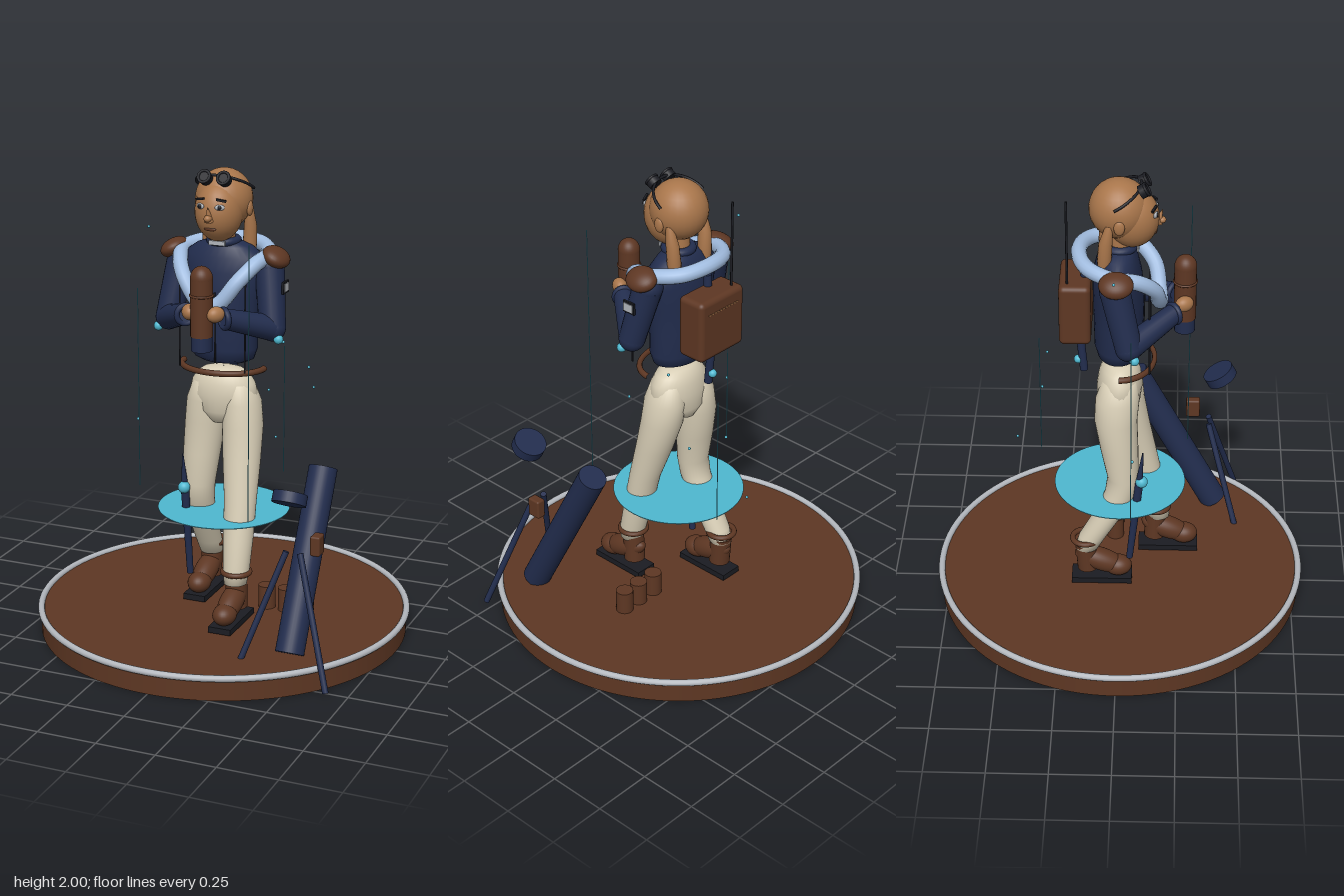
import * as THREE from 'three';
import { RoundedBoxGeometry } from 'three/addons/geometries/RoundedBoxGeometry.js';

const mat = (name, color, side = THREE.FrontSide) => {
  const m = new THREE.MeshStandardMaterial({ color, side });
  m.name = name;
  return m;
};

export function createModel() {
  const root = new THREE.Group();
  root.name = 'explorerFigure';
  const brown = mat('leatherBrown', 0x5e3723), navy = mat('navy', 0x222d4e), cream = mat('cream', 0xd8ceb6);
  const skin = mat('skin', 0xa9764b), scarfBlue = mat('lightBlue', 0xa2bde0), silver = mat('silver', 0xb4b8be);
  const cyan = mat('cyan', 0x4fb8d0, THREE.DoubleSide), black = mat('black', 0x1b1c22);
  const V = (p) => new THREE.Vector3(...p);

  const add = (name, geo, m, p = [0, 0, 0], r = [0, 0, 0], s = [1, 1, 1]) => {
    const o = new THREE.Mesh(geo, m);
    o.name = name;
    o.position.set(...p);
    o.rotation.set(...r);
    o.scale.set(...s);
    root.add(o);
    return o;
  };
  const ball = (name, m, p, radii, r) => add(name, new THREE.SphereGeometry(1, 28, 18), m, p, r, radii);
  const box = (name, m, p, size, r) => add(name, new THREE.BoxGeometry(...size), m, p, r);
  // Cylinder running from a to b
  const rod = (name, m, a, b, ra, rb = ra, seg = 20) => {
    const d = V(b).sub(V(a));
    const o = add(name, new THREE.CylinderGeometry(rb, ra, d.length(), seg), m);
    o.position.copy(V(a)).addScaledVector(d, 0.5);
    o.quaternion.setFromUnitVectors(new THREE.Vector3(0, 1, 0), d.normalize());
    return o;
  };
  const tube = (name, m, pts, r, closed = false) =>
    add(name, new THREE.TubeGeometry(new THREE.CatmullRomCurve3(pts.map(V), closed), 72, r, 14, closed), m);
  // Smooth skin over elliptical rings [x, y, z, rx, rz], listed bottom to top
  const loft = (name, m, rings, n = 32) => {
    const all = [[...rings[0].slice(0, 3), 0.001, 0.001], ...rings, [...rings.at(-1).slice(0, 3), 0.001, 0.001]];
    const pos = [], idx = [];
    all.forEach(([x, y, z, rx, rz], i) => {
      for (let j = 0; j < n; j++) {
        const a = (j / n) * Math.PI * 2, p = i * n + j, q = i * n + ((j + 1) % n);
        pos.push(x + rx * Math.cos(a), y, z + rz * Math.sin(a));
        if (i < all.length - 1) idx.push(p, p + n, q, q, p + n, q + n);
      }
    });
    const g = new THREE.BufferGeometry();
    g.setAttribute('position', new THREE.Float32BufferAttribute(pos, 3));
    g.setIndex(idx);
    g.computeVertexNormals();
    return add(name, g, m);
  };

  // Round base with metal rim
  add('base', new THREE.CylinderGeometry(0.785, 0.785, 0.095, 96), brown, [0, 0.0525, 0]);
  add('baseRim', new THREE.TorusGeometry(0.785, 0.014, 12, 96), silver, [0, 0.102, 0], [Math.PI / 2, 0, 0]);

  // Hovering disc, light lines and sparks
  add('glowDisc', new THREE.CylinderGeometry(0.28, 0.28, 0.003, 64), cyan, [0, 0.54, 0]);
  [[0.23, 0.29, 1.76], [-0.368, 0.054, 1.47], [0.136, -0.344, 1.17]].forEach(([x, z, top]) =>
    rod('lightLine', cyan, [x, 0.6, z], [x, top, z], 0.002, 0.002, 6));
  [[0.28, 1.01, -0.32], [0.355, 1.18, -0.06], [0.06, 0.72, -0.44], [0.07, 0.97, -0.33],
    [-0.345, 1.72, -0.015], [0.21, 1.25, -0.14], [-0.37, 0.9, 0.06]].forEach((p) => ball('spark', cyan, p, [0.006, 0.006, 0.006]));

  // Trousers
  loft('hips', cream, [[0, 0.93, -0.005, 0.05, 0.07], [0, 0.98, -0.005, 0.13, 0.092], [0, 1.05, 0, 0.15, 0.096],
    [0, 1.1, 0, 0.138, 0.088], [0, 1.135, 0, 0.115, 0.075], [0, 1.155, 0, 0.085, 0.055], [0, 1.163, 0, 0.04, 0.03]]);
  loft('leftTrouserLeg', cream, [[0.122, 0.27, 0.165, 0.048, 0.05], [0.122, 0.33, 0.155, 0.056, 0.058],
    [0.118, 0.46, 0.125, 0.064, 0.063], [0.113, 0.62, 0.09, 0.069, 0.066], [0.1, 0.78, 0.045, 0.08, 0.08],
    [0.09, 0.92, 0.01, 0.086, 0.092], [0.083, 1.02, 0, 0.08, 0.093], [0.075, 1.1, 0, 0.055, 0.07]]);
  loft('rightTrouserLeg', cream, [[-0.117, 0.27, -0.14, 0.048, 0.05], [-0.117, 0.33, -0.115, 0.056, 0.058],
    [-0.116, 0.46, -0.04, 0.062, 0.062], [-0.112, 0.56, 0.005, 0.066, 0.066], [-0.108, 0.64, 0.016, 0.07, 0.066],
    [-0.1, 0.78, 0, 0.08, 0.08], [-0.09, 0.92, -0.015, 0.086, 0.09], [-0.083, 1.02, -0.008, 0.08, 0.092], [-0.075, 1.1, 0, 0.055, 0.07]]);

  // Boots, soles and ankle straps
  [[0.122, 0.2, 0.155], [-0.117, -0.085, -0.145]].forEach(([x, z, cuffZ]) => {
    add('ankleStrap', new THREE.TorusGeometry(0.056, 0.012, 10, 32), brown, [x, 0.317, cuffZ], [Math.PI / 2, 0, 0]);
    rod('bootShaft', brown, [x, 0.16, z - 0.05], [x, 0.29, cuffZ], 0.046, 0.046);
    ball('bootFoot', brown, [x, 0.2, z + 0.005], [0.05, 0.05, 0.12], [0.38, 0, 0]);
    ball('bootToe', brown, [x, 0.17, z + 0.08], [0.05, 0.045, 0.06]);
    box('bootSole', black, [x, 0.118, z + 0.01], [0.1, 0.026, 0.26]);
  });

  // Jacket
  loft('jacketBody', navy, [[0, 1.19, -0.005, 0.1, 0.065], [0, 1.205, -0.005, 0.13, 0.088], [0, 1.25, -0.005, 0.145, 0.1],
    [0, 1.36, -0.005, 0.145, 0.102], [0, 1.48, -0.005, 0.16, 0.105], [0, 1.58, -0.01, 0.18, 0.1],
    [0, 1.64, -0.01, 0.175, 0.085], [0, 1.68, -0.01, 0.12, 0.07], [0, 1.7, -0.005, 0.065, 0.055]]);
  rod('neck', skin, [0, 1.66, 0], [0, 1.78, 0.01], 0.05);
  add('collar', new THREE.TorusGeometry(0.055, 0.018, 12, 32), navy, [0, 1.7, 0], [Math.PI / 2, 0, 0]);
  box('collarClasp', silver, [0, 1.7, 0.073], [0.07, 0.018, 0.009]);
  rod('jacketSeam', black, [0, 1.2, 0.094], [0, 1.5, 0.1], 0.004, 0.004, 8);
  add('belt', new THREE.TorusGeometry(0.18, 0.013, 12, 40, Math.PI), brown, [0, 1.17, 0], [Math.PI / 2, 0, 0], [1, 0.8, 1]);

  // Scarf looped over the shoulders
  tube('scarf', scarfBlue, [[0, 1.675, -0.165], [0.12, 1.665, -0.13], [0.185, 1.65, -0.03], [0.165, 1.625, 0.07],
    [0.115, 1.56, 0.14], [0.05, 1.475, 0.16], [0, 1.45, 0.165], [-0.05, 1.475, 0.16], [-0.115, 1.56, 0.14],
    [-0.165, 1.625, 0.07], [-0.185, 1.65, -0.03], [-0.12, 1.665, -0.13]], 0.032, true);

  // Arms, shoulder pads, straps and hands
  for (const s of [1, -1]) {
    const shoulder = [s * 0.195, 1.6, -0.015], elbow = [s * 0.232, 1.36, 0.04], wrist = [s * 0.085 + 0.01, 1.43, 0.22];
    ball('shoulder', navy, shoulder, [0.062, 0.062, 0.062]);
    rod('upperArm', navy, elbow, shoulder, 0.055, 0.062);
    ball('elbow', navy, elbow, [0.055, 0.055, 0.055]);
    rod('forearm', navy, elbow, wrist, 0.054, 0.042);
    add('cuff', new THREE.TorusGeometry(0.038, 0.012, 10, 24), navy, wrist, [0, -s * 0.7, 0]);
    ball('elbowLight', cyan, [s * 0.268, 1.322, 0.065], [0.02, 0.02, 0.02]);
    ball('hand', skin, [s * 0.058 + 0.017, 1.455, 0.262], [0.03, 0.033, 0.04], [0, -s * 0.5, 0]);
    ball('shoulderPad', brown, [s * 0.226, 1.646, -0.01], [0.06, 0.038, 0.07], [0, 0, -s * 0.5]);
    rod('harnessStrap', black, [s * 0.145, 1.18, 0.125], [s * 0.145, 1.62, 0.12], 0.004, 0.004, 8);
  }
  box('sleevePatchEdge', black, [0.276, 1.53, 0.012], [0.009, 0.05, 0.06]);
  box('sleevePatch', silver, [0.279, 1.53, 0.012], [0.009, 0.034, 0.045]);

  // Flask held in both hands
  rod('flaskBase', navy, [0.015, 1.3, 0.265], [0.015, 1.37, 0.265], 0.043);
  rod('flaskBody', brown, [0.015, 1.36, 0.265], [0.015, 1.6, 0.265], 0.046);
  ball('flaskDome', brown, [0.015, 1.6, 0.265], [0.046, 0.05, 0.046]);
  add('flaskBand', new THREE.TorusGeometry(0.046, 0.005, 8, 28), brown, [0.015, 1.53, 0.265], [Math.PI / 2, 0, 0]);

  // Head and face
  ball('cranium', skin, [0, 1.872, -0.003], [0.118, 0.125, 0.122]);
  ball('face', skin, [0, 1.83, 0.05], [0.098, 0.125, 0.108]);
  add('nose', new THREE.ConeGeometry(0.02, 0.065, 12), skin, [0, 1.838, 0.16], [0.3, 0, 0]);
  ball('noseTip', skin, [0, 1.82, 0.168], [0.016, 0.014, 0.016]);
  ball('lips', brown, [0, 1.772, 0.143], [0.027, 0.008, 0.006]);
  for (const s of [1, -1]) {
    ball('eyeWhite', silver, [s * 0.042, 1.864, 0.143], [0.02, 0.012, 0.007], [0, s * 0.4, 0]);
    ball('pupil', black, [s * 0.042, 1.864, 0.148], [0.009, 0.01, 0.006]);
    box('eyebrow', black, [s * 0.046, 1.892, 0.137], [0.042, 0.009, 0.009], [0, s * 0.4, -s * 0.2]);
    ball('ear', skin, [s * 0.114, 1.84, 0], [0.012, 0.032, 0.022]);
    loft('hairTail', skin, [[s * 0.085, 1.56, -0.06, 0.012, 0.012], [s * 0.088, 1.6, -0.06, 0.024, 0.024],
      [s * 0.09, 1.68, -0.06, 0.029, 0.029], [s * 0.094, 1.76, -0.055, 0.026, 0.028], [s * 0.095, 1.84, -0.04, 0.015, 0.015]], 16);
    // Goggle cups and lenses on the forehead
    rod('goggleCup', black, [s * 0.042, 1.963, 0.082], [s * 0.042, 1.978, 0.107], 0.028);
    add('goggleRim', new THREE.TorusGeometry(0.025, 0.006, 8, 24), black, [s * 0.042, 1.978, 0.107], [-0.54, 0, 0]);
  }
  add('goggleStrap', new THREE.TorusGeometry(0.123, 0.006, 8, 40, Math.PI), black, [0, 1.92, -0.02], [1.04, 0, 0]);

  // Backpack with stitching and aerial
  add('backpack', new RoundedBoxGeometry(0.255, 0.27, 0.13, 4, 0.022), brown, [0, 1.435, -0.18]);
  for (let i = -5; i <= 5; i++) box('stitch', skin, [i * 0.016, 1.51, -0.245], [0.01, 0.005, 0.006]);
  rod('aerial', black, [-0.085, 1.55, -0.21], [-0.085, 1.94, -0.21], 0.005, 0.005, 8);

  // Slung batons with glowing knobs
  rod('backBaton', navy, [-0.02, 1.12, -0.148], [-0.02, 1.3, -0.165], 0.017);
  rod('backBatonUpper', navy, [-0.02, 1.3, -0.15], [-0.02, 1.62, -0.14], 0.017);
  ball('backBatonKnob', cyan, [-0.02, 1.17, -0.172], [0.018, 0.018, 0.018]);
  rod('legBaton', navy, [-0.138, 0.23, 0.045], [-0.143, 0.63, 0.085], 0.014, 0.018);
  rod('legBatonSpike', navy, [-0.143, 0.62, 0.084], [-0.146, 0.785, 0.1], 0.016, 0.003);
  ball('legBatonKnob', cyan, [-0.143, 0.635, 0.095], [0.026, 0.026, 0.026]);

  // Launch tube, floating lid, sight box and bipod
  rod('launchTube', navy, [0.465, 0.11, 0.414], [0.465, 0.793, 0.05], 0.06, 0.06, 32);
  rod('tubeLid', navy, [0.465, 0.765, 0.441], [0.465, 0.805, 0.419], 0.07, 0.07, 32);
  add('sightBox', new RoundedBoxGeometry(0.042, 0.085, 0.062, 2, 0.008), brown, [0.541, 0.56, 0.315]);
  rod('bipodLeg', navy, [0.265, 0.02, 0.53], [0.435, 0.54, 0.385], 0.013, 0.013, 12);
  rod('bipodLeg', navy, [0.665, 0.02, 0.53], [0.495, 0.54, 0.385], 0.013, 0.013, 12);

  // Canisters on the base
  [0.19, 0.28, 0.365].forEach((x) => rod('canister', brown, [x, 0.1, -0.025], [x, 0.2, -0.025], 0.037, 0.037, 24));

  return root;
}
